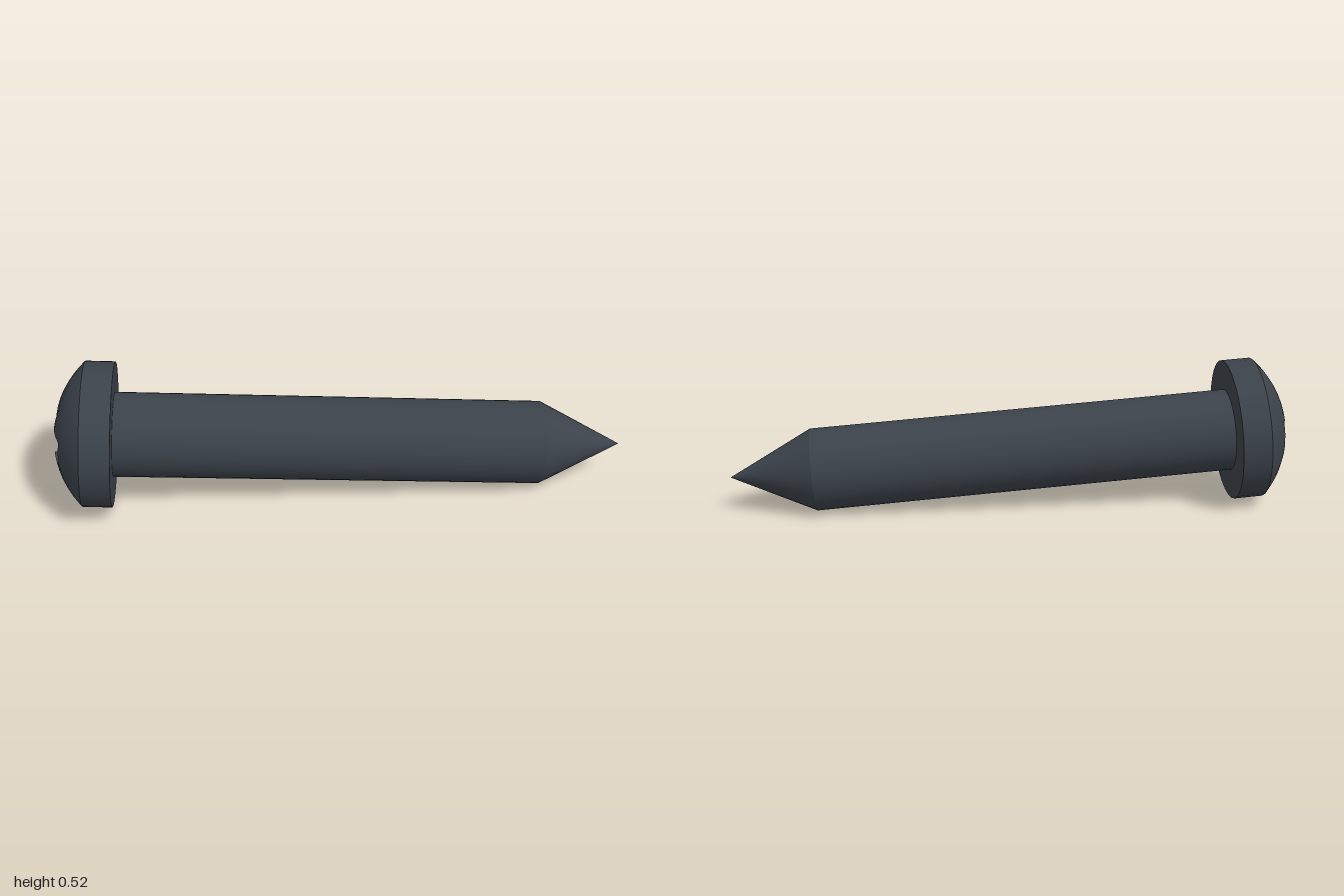
import * as THREE from 'three';

const SEG = 32;
const HEAD_R = 0.258, RIM_H = 0.104, DOME_H = 0.106;
const SHAFT_R = 0.15, SHOULDER = -1.528, TIP = -1.83;
const BALL_R = (HEAD_R ** 2 + DOME_H ** 2) / (2 * DOME_H);
const BALL_Y = RIM_H + DOME_H - BALL_R;

// Height of the domed head above a point of its plan
const domeY = (x, z) => BALL_Y + Math.sqrt(BALL_R ** 2 - x * x - z * z);

// Cross outline with arm length l and half width w, eight points per quarter
function cross(l, w) {
  const s = (l - w) / 3;
  const quarter = [[l, -w], [l, 0], [l, w], [l - s, w], [l - 2 * s, w], [w, w], [w, w + s], [w, w + 2 * s]];
  const points = [];
  for (let q = 0; q < 4; q++) {
    for (const [x, z] of quarter) points.push([[x, z], [-z, x], [-x, -z], [z, -x]][q]);
  }
  return points;
}

// Skin over closed rings listed from the middle outwards, facing up
function skin(rings) {
  const index = [];
  for (let j = 0; j < rings.length - 1; j++) {
    for (let i = 0; i < SEG; i++) {
      const k = (i + 1) % SEG;
      const a = j * SEG + i, b = j * SEG + k, c = a + SEG, d = b + SEG;
      index.push(a, b, c, b, d, c);
    }
  }
  const geo = new THREE.BufferGeometry();
  geo.setAttribute('position', new THREE.Float32BufferAttribute(rings.flat(2), 3));
  geo.setIndex(index);
  return geo;
}

export function createModel() {
  const model = new THREE.Group();
  const steel = new THREE.MeshStandardMaterial({ color: 0x3b424a });
  steel.name = 'dark steel';

  const screw = new THREE.Group();
  screw.name = 'screw';
  model.add(screw);

  const add = (name, geo) => {
    const mesh = new THREE.Mesh(geo, steel);
    mesh.name = name;
    screw.add(mesh);
  };
  const turned = (name, ...points) =>
    add(name, new THREE.LatheGeometry(points.map(([r, y]) => new THREE.Vector2(r, y)), SEG));

  // Point, shaft and the straight faces of the head
  turned('point', [0, TIP], [SHAFT_R, SHOULDER]);
  turned('shaft', [SHAFT_R, SHOULDER], [SHAFT_R, 0]);
  turned('headUnderside', [SHAFT_R, 0], [HEAD_R, 0]);
  turned('headRim', [HEAD_R, 0], [HEAD_R, RIM_H]);

  // Domed top, running from the cross opening out to the rim
  const opening = cross(0.135, 0.047);
  const rings = [];
  for (let j = 0; j <= 6; j++) {
    const t = j / 6;
    rings.push(opening.map(([x, z], i) => {
      const angle = (i - 1) * Math.PI * 2 / SEG;
      const px = THREE.MathUtils.lerp(x, HEAD_R * Math.cos(angle), t);
      const pz = THREE.MathUtils.lerp(z, HEAD_R * Math.sin(angle), t);
      return [px, domeY(px, pz), pz];
    }));
  }
  const dome = skin(rings);
  const normals = rings.flat().flatMap(([x, y, z]) => [x / BALL_R, (y - BALL_Y) / BALL_R, z / BALL_R]);
  dome.setAttribute('normal', new THREE.Float32BufferAttribute(normals, 3));
  add('headDome', dome);

  // Tapered cross recess with a shallow conical floor
  const recess = skin([
    opening.map(() => [0, 0.085, 0]),
    cross(0.095, 0.036).map(([x, z]) => [x, 0.105, z]),
    rings[0],
  ]).toNonIndexed();
  recess.computeVertexNormals();
  add('crossRecess', recess);

  // Lay the screw down, point towards +x
  const up = new THREE.Vector3(-1, 0.073, -0.211).normalize();
  const side = new THREE.Vector3(0, 1, 0).addScaledVector(up, -up.y).normalize();
  const basis = new THREE.Matrix4().makeBasis(new THREE.Vector3().crossVectors(up, side), up, side);
  screw.quaternion.setFromRotationMatrix(basis);
  screw.position.set(-0.787, 0.261, -0.094);
  return model;
}
